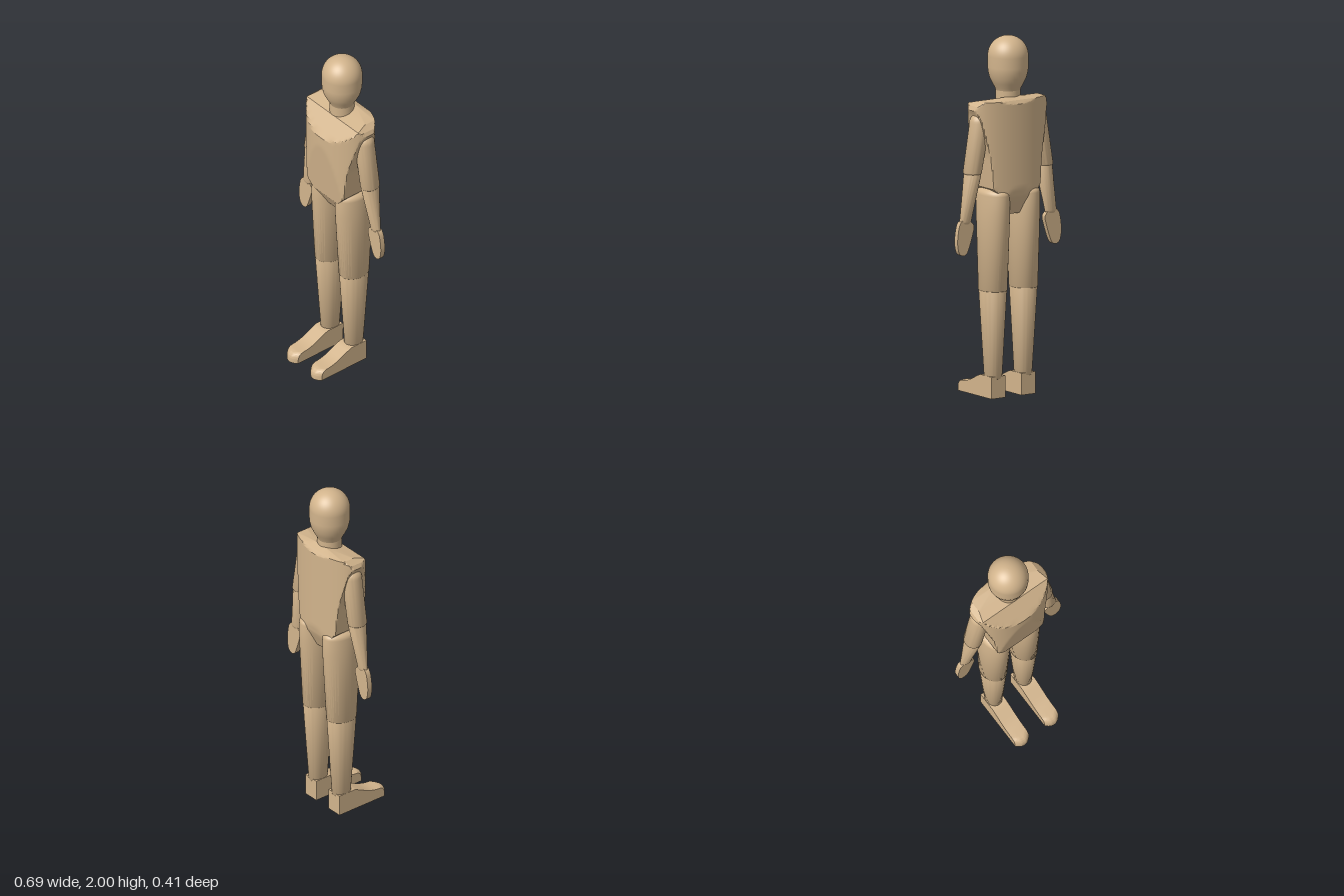
import * as THREE from 'three';
import { toCreasedNormals, mergeVertices } from 'three/addons/utils/BufferGeometryUtils.js';

const SKIN = new THREE.MeshStandardMaterial({ color: 0xd2b48c });
const MID_Z = -0.087;

function part(name, geometry) {
  const mesh = new THREE.Mesh(geometry, SKIN);
  mesh.name = name;
  return mesh;
}

// Skin a surface over closed rings of points, listed from bottom to top
function skin(rings, crease) {
  const n = rings[0].length;
  const index = [];
  for (let i = 0; i < rings.length - 1; i++) {
    for (let j = 0; j < n; j++) {
      const a = i * n + j, b = i * n + (j + 1) % n;
      index.push(a, a + n, b, b, a + n, b + n);
    }
  }
  const g = new THREE.BufferGeometry();
  g.setAttribute('position', new THREE.Float32BufferAttribute(rings.flat(2), 3));
  g.setIndex(index);
  return toCreasedNormals(g, crease);
}

// Limb with elliptical sections [centreX, y, centreZ, radiusX, radiusZ]
function limb(sections, n = 40) {
  return skin(sections.map(([cx, y, cz, rx, rz]) => Array.from({ length: n }, (_, j) => {
    const t = (j / n) * Math.PI * 2;
    return [cx + rx * Math.cos(t), y, cz + rz * Math.sin(t)];
  })), 0.6);
}

// Domed end: sections from the full radius to the pole (dir = 1 up, -1 down)
function dome([cx, y, cz, rx, rz], height, dir, power = 1) {
  const out = [];
  for (let k = 1; k <= 8; k++) {
    const t = (k / 8) * Math.PI / 2;
    const r = k === 8 ? 0 : Math.pow(Math.cos(t), power);
    out.push([cx, y + dir * height * Math.sin(t), cz, rx * r, rz * r]);
  }
  return dir > 0 ? out : out.reverse();
}

// Linear lookup in a list of [y, value]
function at(profile, y) {
  for (let i = 1; i < profile.length; i++) {
    const [y0, v0] = profile[i - 1], [y1, v1] = profile[i];
    if (y <= y1) return v0 + (v1 - v0) * Math.max(0, (y - y0) / (y1 - y0));
  }
  return profile[profile.length - 1][1];
}

// Torso: an oval column trimmed by its front and side outlines
function torsoGeometry() {
  const halfWidth = [[1.02, 0.03], [1.115, 0.105], [1.17, 0.155], [1.35, 0.172], [1.57, 0.222],
    [1.607, 0.242], [1.63, 0.23], [1.655, 0.2], [1.67, 0.06]];
  const front = [[1.02, -0.02], [1.115, 0.032], [1.47, 0.07], [1.53, 0.07], [1.64, -0.02], [1.67, -0.14]];
  const back = [[1.02, -0.15], [1.115, -0.19], [1.17, -0.2], [1.635, -0.2], [1.655, -0.185], [1.67, -0.15]];
  const levels = new Set([...halfWidth, ...front, ...back].map(p => p[0]));
  for (let y = 1.03; y < 1.665; y += 0.02) levels.add(y);
  const n = 96;
  const rings = [...levels].sort((a, b) => a - b).map(y => {
    const w = at(halfWidth, y), f = at(front, y), b = at(back, y);
    return Array.from({ length: n }, (_, j) => {
      const t = (j / n) * Math.PI * 2, s = Math.sin(t);
      const x = 0.245 * Math.cos(t), z = -0.09 + (s > 0 ? 0.16 : 0.11) * s;
      return [Math.min(w, Math.max(-w, x)), y, Math.min(f, Math.max(b, z))];
    });
  });
  // Close both ends
  rings.unshift(rings[0].map(() => [0, 1.02, -0.085]));
  rings.push(rings[0].map(() => [0, 1.67, -0.145]));
  return skin(rings, 0.35);
}

function headGeometry() {
  const pts = [[0.068, 1.7], [0.074, 1.715], [0.088, 1.74], [0.102, 1.77], [0.11, 1.805], [0.112, 1.83]];
  for (let k = 0; k <= 16; k++) {
    const t = (k / 16) * Math.PI / 2;
    pts.push([k === 16 ? 0 : 0.112 * Math.cos(t), 1.888 + 0.112 * Math.sin(t)]);
  }
  return new THREE.LatheGeometry(pts.map(p => new THREE.Vector2(...p)), 48);
}

// Foot: side outline extruded across, with the toe rounded in plan
function footGeometry() {
  const s = new THREE.Shape();
  s.moveTo(-0.138, 0);
  s.lineTo(0.205, 0);
  s.lineTo(0.205, 0.025);
  s.quadraticCurveTo(0.2, 0.06, 0.155, 0.062);
  s.bezierCurveTo(0.07, 0.065, 0.05, 0.09, -0.03, 0.122);
  s.lineTo(-0.138, 0.122);
  const g = new THREE.ExtrudeGeometry(s, { depth: 0.094, steps: 12, bevelEnabled: false, curveSegments: 10 });
  g.translate(0, 0, -0.047).rotateY(-Math.PI / 2);
  const p = g.attributes.position;
  for (let i = 0; i < p.count; i++) {
    const z = p.getZ(i), u = p.getX(i) / 0.047;
    const k = Math.min(1, Math.max(0, (z - 0.1) / 0.1));
    p.setZ(i, z - 0.025 * k * u * u);
  }
  g.deleteAttribute('uv');
  g.deleteAttribute('normal');
  return toCreasedNormals(mergeVertices(g), 0.5);
}

// Hand: a flat mitten outline
function handGeometry(s) {
  const outline = [[0.268, 1.0], [0.238, 0.97], [0.246, 0.92], [0.275, 0.835], [0.295, 0.811],
    [0.32, 0.811], [0.338, 0.83], [0.347, 0.88], [0.342, 0.94], [0.33, 0.985], [0.305, 1.005]];
  const curve = new THREE.SplineCurve([...outline, outline[0]].map(([x, y]) => new THREE.Vector2(s * x, y)));
  const g = new THREE.ExtrudeGeometry(new THREE.Shape(curve.getPoints(44).slice(0, -1)),
    { depth: 0.03, bevelEnabled: false });
  return toCreasedNormals(g.translate(0, 0, MID_Z - 0.015), 0.6);
}

function arm(s) {
  const g = new THREE.Group();
  const shoulder = [s * 0.19, 1.535, MID_Z, 0.055, 0.056];
  const elbow = [s * 0.238, 1.265, MID_Z, 0.05, 0.056];
  const elbowTop = [s * 0.238, 1.25, MID_Z, 0.046, 0.053];
  const wrist = [s * 0.284, 1.0, MID_Z, 0.037, 0.021];
  g.add(
    part('upperArm', limb([...dome(elbow, 0.02, -1), elbow, shoulder, ...dome(shoulder, 0.055, 1)])),
    part('forearm', limb([...dome(wrist, 0.028, -1), wrist, elbowTop, ...dome(elbowTop, 0.04, 1)])),
    part('hand', handGeometry(s)));
  return g;
}

function leg(s) {
  const g = new THREE.Group();
  const hip = [s * 0.1, 1.13, MID_Z, 0.077, 0.117];
  const thigh = [s * 0.1, 1.03, MID_Z, 0.08, 0.116];
  const knee = [s * 0.102, 0.6, MID_Z, 0.074, 0.09];
  const kneeTop = [s * 0.102, 0.6, MID_Z, 0.072, 0.088];
  const ankle = [s * 0.1, 0.11, MID_Z, 0.046, 0.055];
  const foot = part('foot', footGeometry());
  foot.position.x = s * 0.1;
  g.add(
    part('thigh', limb([...dome(knee, 0.012, -1), knee, thigh, hip, ...dome(hip, 0.042, 1, 0.7)])),
    part('shin', limb([...dome(ankle, 0.01, -1), ankle, kneeTop, ...dome(kneeTop, 0.03, 1)])),
    foot);
  return g;
}

export function createModel() {
  const model = new THREE.Group();
  model.name = 'mannequin';
  const head = part('head', headGeometry());
  const neck = part('neck', new THREE.CylinderGeometry(0.068, 0.068, 0.1, 40));
  head.position.z = MID_Z;
  neck.position.set(0, 1.66, MID_Z);
  model.add(head, neck, part('torso', torsoGeometry()));
  for (const s of [1, -1]) {
    const side = s > 0 ? 'left' : 'right';
    const a = arm(s), l = leg(s);
    a.name = side + 'Arm';
    l.name = side + 'Leg';
    model.add(a, l);
  }
  return model;
}
